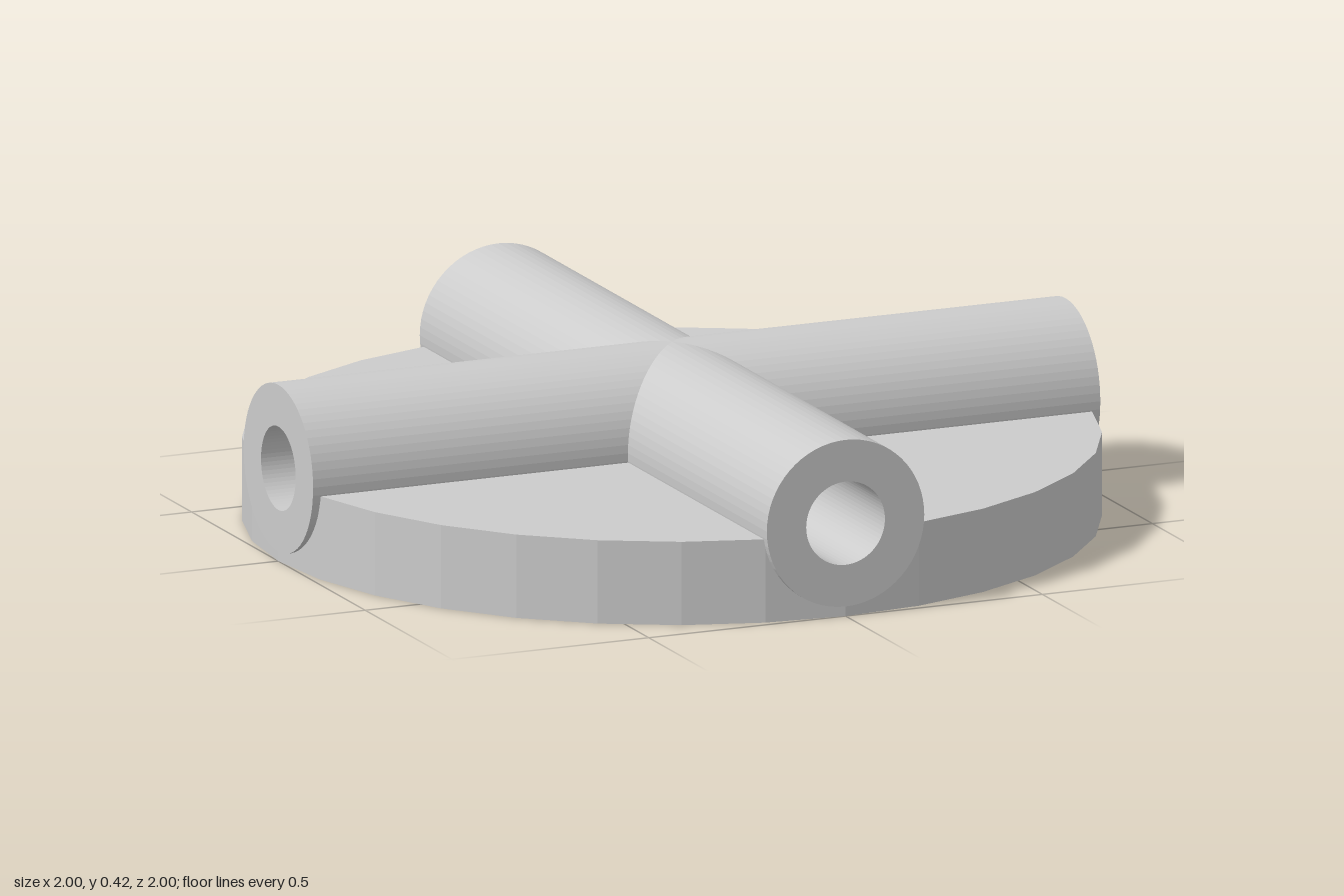
import * as THREE from 'three';

const SIDES = 32, BASE_H = 0.2, STEP = 0.11;
const PIPE_Y = 0.223, PIPE_R = 0.2, BORE_R = 0.1;

export function createModel() {
  const model = new THREE.Group();
  const grey = new THREE.MeshStandardMaterial({ color: 0xcccccc, flatShading: true });
  const add = (name, geometry, parent = model) => {
    const mesh = new THREE.Mesh(geometry, grey);
    mesh.name = name;
    parent.add(mesh);
    return mesh;
  };

  // Round base: full lower disc, then four sectors that leave the bores clear
  const base = new THREE.Group();
  base.name = 'base';
  model.add(base);
  add('lowerDisc', new THREE.CylinderGeometry(1, 1, STEP, SIDES), base).position.y = STEP / 2;

  const inset = 0.15; // sector edges end inside the pipe walls
  const a = (Math.PI * 2) / SIDES;
  const rim = 1 - inset * Math.tan(a / 2);
  const points = [new THREE.Vector2(inset, inset), new THREE.Vector2(rim, inset)];
  for (let i = 1; i < SIDES / 4; i++) points.push(new THREE.Vector2(Math.cos(i * a), Math.sin(i * a)));
  points.push(new THREE.Vector2(inset, rim));
  const sector = new THREE.ExtrudeGeometry(new THREE.Shape(points), {
    depth: BASE_H - STEP, bevelEnabled: false,
  }).rotateX(-Math.PI / 2);
  for (let i = 0; i < 4; i++) {
    const mesh = add('upperSector', sector, base);
    mesh.position.y = STEP;
    mesh.rotation.y = (i * Math.PI) / 2;
  }

  // Two hollow pipes crossing at the centre
  const ring = new THREE.Shape().absarc(0, 0, PIPE_R, 0, Math.PI * 2, false);
  ring.holes.push(new THREE.Path().absarc(0, 0, BORE_R, 0, Math.PI * 2, true));
  const pipe = new THREE.ExtrudeGeometry(ring, {
    depth: 2, bevelEnabled: false, curveSegments: SIDES,
  }).translate(0, 0, -1);
  ['frontToBackPipe', 'sideToSidePipe'].forEach((name, i) => {
    const mesh = add(name, pipe);
    mesh.position.y = PIPE_Y;
    mesh.rotation.y = (i * Math.PI) / 2;
  });

  return model;
}
